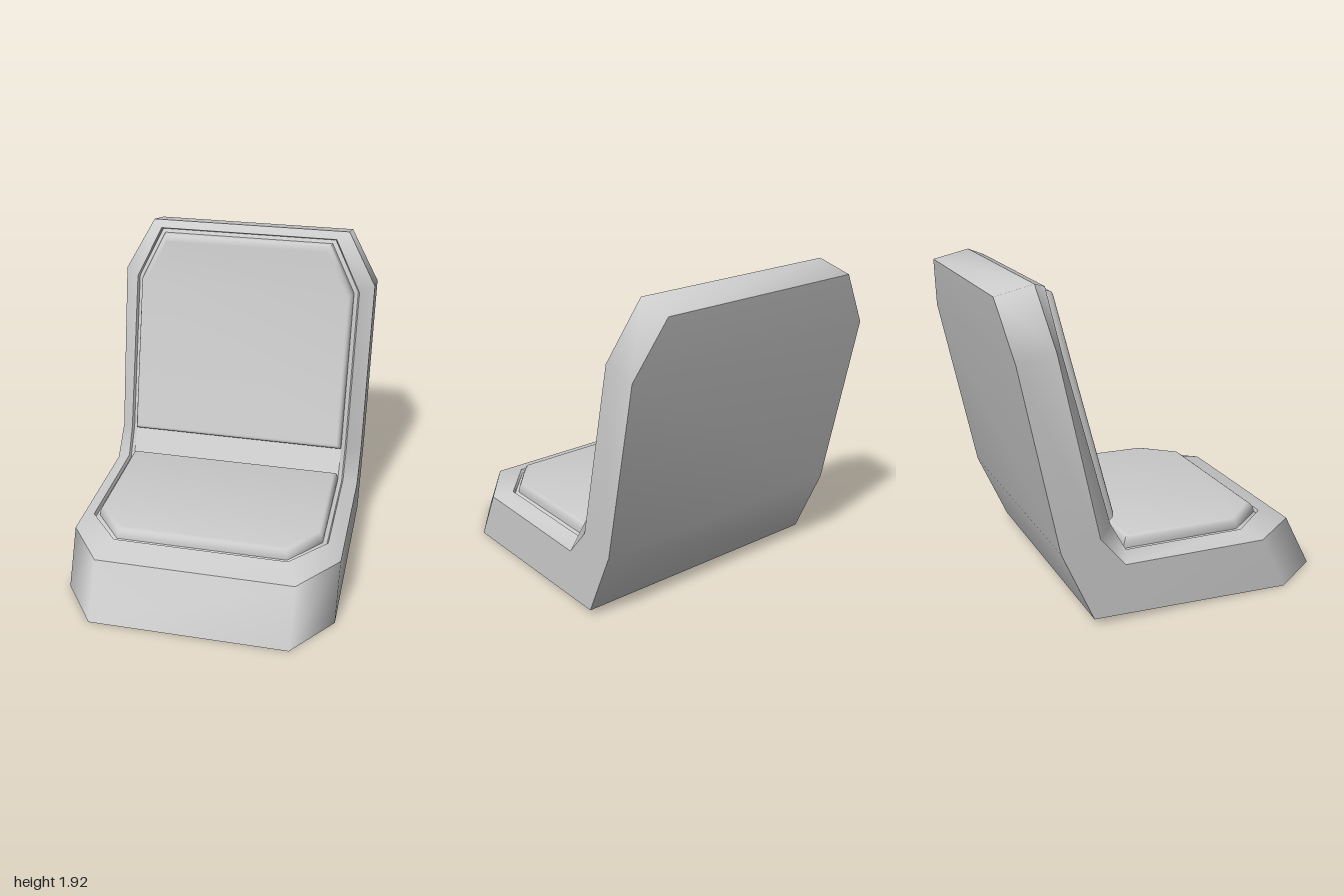
import * as THREE from 'three';
import { mergeGeometries, toCreasedNormals } from 'three/addons/utils/BufferGeometryUtils.js';

// Each outline is half a loop (+x side), running from the front edge to the top edge.
const BASE = [[0.6, 0, 1], [0.825, 0, 0.69], [0.825, 0.04, -0.54], [0.825, 0.47, -0.73], [0.825, 1.55, -0.95], [0.64, 1.87, -1]];
const RIM = [[0.6, 0.33, 0.83], [0.825, 0.33, 0.53], [0.825, 0.34, -0.35], [0.825, 0.52, -0.5], [0.825, 1.59, -0.73], [0.64, 1.92, -0.78]];
const LIP = [[0.53, 0.38, 0.67], [0.735, 0.38, 0.43], [0.735, 0.387, -0.31], [0.735, 0.56, -0.405], [0.735, 1.56, -0.67], [0.57, 1.89, -0.7]];
const GROOVE = [[0.528, 0.36, 0.66], [0.725, 0.36, 0.427], [0.725, 0.367, -0.317], [0.725, 0.555, -0.425], [0.725, 1.558, -0.69], [0.563, 1.88, -0.72]];
const PAD = [[0.52, 0.37, 0.643], [0.7, 0.37, 0.42], [0.7, 0.378, -0.308], [0.7, 0.56, -0.412], [0.7, 1.55, -0.678], [0.545, 1.86, -0.705]];
const SEAT_TOP = [[0.495, 0.433, 0.6], [0.672, 0.433, 0.4], [0.672, 0.445, -0.275]];
const BACK_TOP = [[0.67, 0.61, -0.368], [0.67, 1.54, -0.607], [0.52, 1.82, -0.638]];

const mirror = (half) => half.map(([x, y, z]) => [-x, y, z]);
const closeLoop = (half) => [...half, ...mirror(half).reverse()];

function build(points, index) {
  const geo = new THREE.BufferGeometry();
  geo.setAttribute('position', new THREE.Float32BufferAttribute(points.flat(), 3));
  geo.setIndex(index);
  geo.computeVertexNormals();
  return geo;
}

// Closed band between an outer and an inner outline
function band(outer, inner) {
  const a = closeLoop(outer), b = closeLoop(inner), n = a.length, index = [];
  for (let i = 0; i < n; i++) {
    const j = (i + 1) % n;
    index.push(i, j, n + j, i, n + j, n + i);
  }
  return build([...a, ...b], index);
}

// Surface spanning from one side of an outline to its mirror image
function panel(half) {
  const n = half.length, index = [];
  for (let i = 0; i < n - 1; i++) {
    index.push(i, i + 1, n + i + 1, i, n + i + 1, n + i);
  }
  return build([...half, ...mirror(half)], index);
}

// Pad with a quarter-round edge: rises along lift while closing in on the top outline
function cushion(base, top, lift, steps = 5) {
  const ring = (t) => base.map((p, i) => p.map((v, k) => {
    const inset = top[i][k] - v - lift[k];
    return v + inset * (1 - Math.cos(t)) + lift[k] * Math.sin(t);
  }));
  const parts = [];
  for (let s = 0; s < steps; s++) {
    parts.push(band(ring((s / steps) * Math.PI / 2), ring(((s + 1) / steps) * Math.PI / 2)));
  }
  parts.push(panel(top));
  return toCreasedNormals(mergeGeometries(parts), 1.0);
}

export function createModel() {
  const model = new THREE.Group();
  model.name = 'seat';
  const grey = new THREE.MeshStandardMaterial({ color: 0xcccccc, side: THREE.DoubleSide });
  grey.name = 'light grey';

  const add = (name, geometry) => {
    const mesh = new THREE.Mesh(geometry, grey);
    mesh.name = name;
    model.add(mesh);
  };

  // Hollow shell, open underneath
  add('shellSides', band(BASE, RIM));
  add('shellRim', band(RIM, LIP));
  add('grooveWall', band(LIP, GROOVE));
  add('grooveFloor', band(GROOVE, PAD));
  add('backPanel', panel(mirror(BASE.slice(2))));

  // Strip joining the two cushions
  add('hingeStrip', panel(PAD.slice(2, 4)));

  // Padding
  add('seatCushion', cushion(PAD.slice(0, 3), SEAT_TOP, [0, 0.065, 0]));
  add('backCushion', cushion(PAD.slice(3), BACK_TOP, [0, 0.017, 0.066]));
  return model;
}
